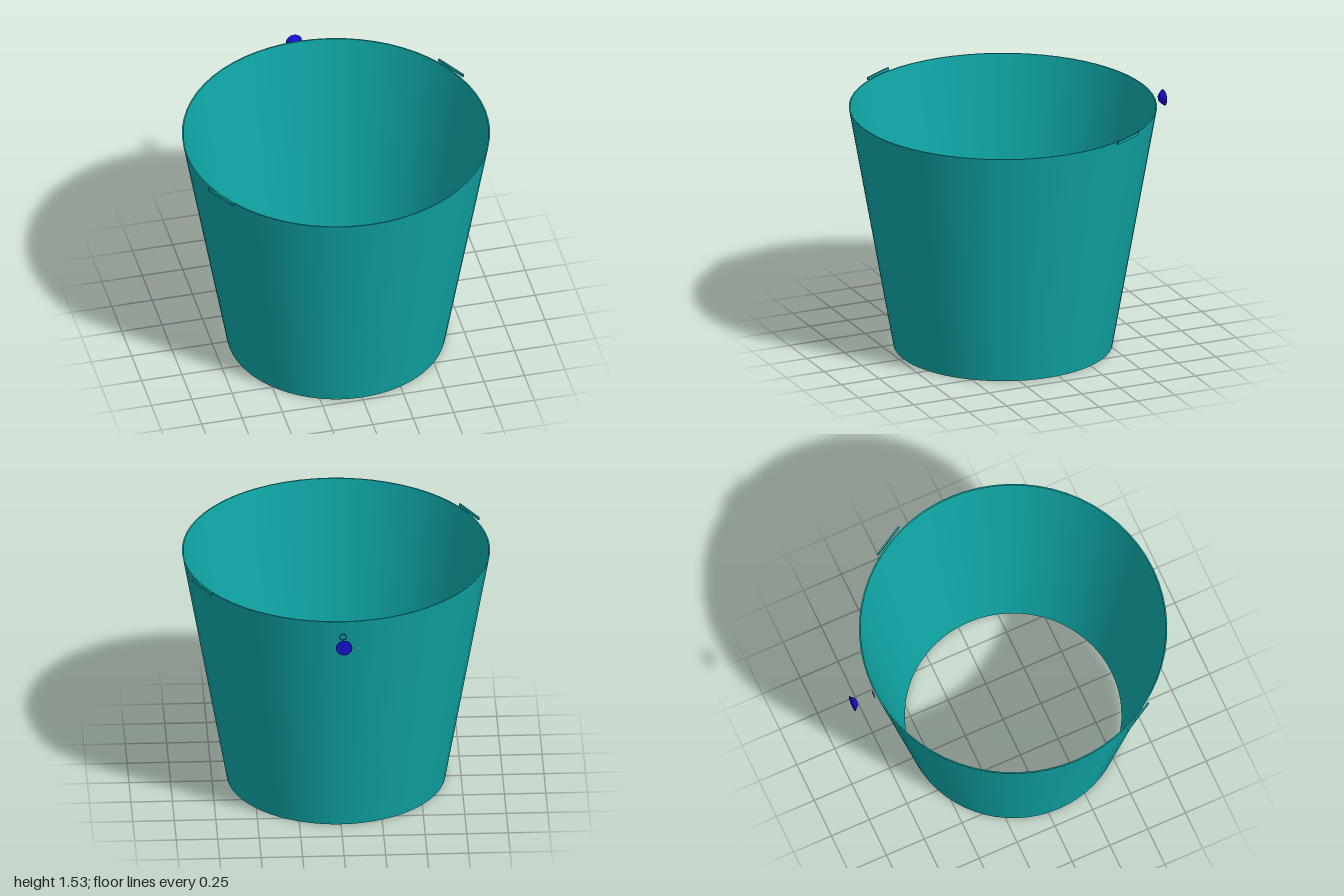
import * as THREE from 'three';

const SEGMENTS = 64;
const CENTER_Z = 0.066;

export function createModel() {
  const model = new THREE.Group();
  const teal = new THREE.MeshStandardMaterial({ name: 'teal', color: 0x0fa6a5 });
  const blue = new THREE.MeshStandardMaterial({ name: 'blue', color: 0x1410cc });

  const add = (name, geometry, material, parent = model) => {
    const mesh = new THREE.Mesh(geometry, material);
    mesh.name = name;
    parent.add(mesh);
    return mesh;
  };

  // Tapered shell, open at both ends; one lathe per face keeps the rims sharp
  const shell = new THREE.Group();
  shell.name = 'shell';
  shell.position.z = CENTER_Z;
  model.add(shell);
  const profile = [[0.66, 0], [0.928, 1.52], [0.92, 1.52], [0.652, 0]]
    .map(([r, y]) => new THREE.Vector2(r, y));
  ['outerWall', 'topRim', 'innerWall', 'bottomRim'].forEach((name, i) => {
    const edge = [profile[i], profile[(i + 1) % 4]];
    add(name, new THREE.LatheGeometry(edge, SEGMENTS), teal, shell);
  });

  // Two slim tabs on opposite sides of the rim
  [['leftTab', 1], ['rightTab', -1]].forEach(([name, side]) => {
    const tab = add(name, new THREE.BoxGeometry(0.215, 0.017, 0.01), teal);
    tab.position.set(side * 0.824, 1.5215, CENTER_Z - side * 0.45);
    tab.rotation.y = -Math.PI / 3;
  });

  // Flared knob standing off the back
  const knobProfile = [[0, 0], [0.025, 0], [0.05, 0.028], [0.047, 0.03], [0, 0.03]]
    .map(([r, y]) => new THREE.Vector2(r, y));
  const knob = add('knob', new THREE.LatheGeometry(knobProfile, 16), blue);
  knob.rotation.x = -Math.PI / 2;
  knob.position.set(0, 1.413, -0.97);

  // Small ring on the wall behind the knob
  const ring = add('knobRing', new THREE.TorusGeometry(0.02, 0.002, 6, 16), blue);
  ring.position.set(0, 1.413, -0.857);

  return model;
}
